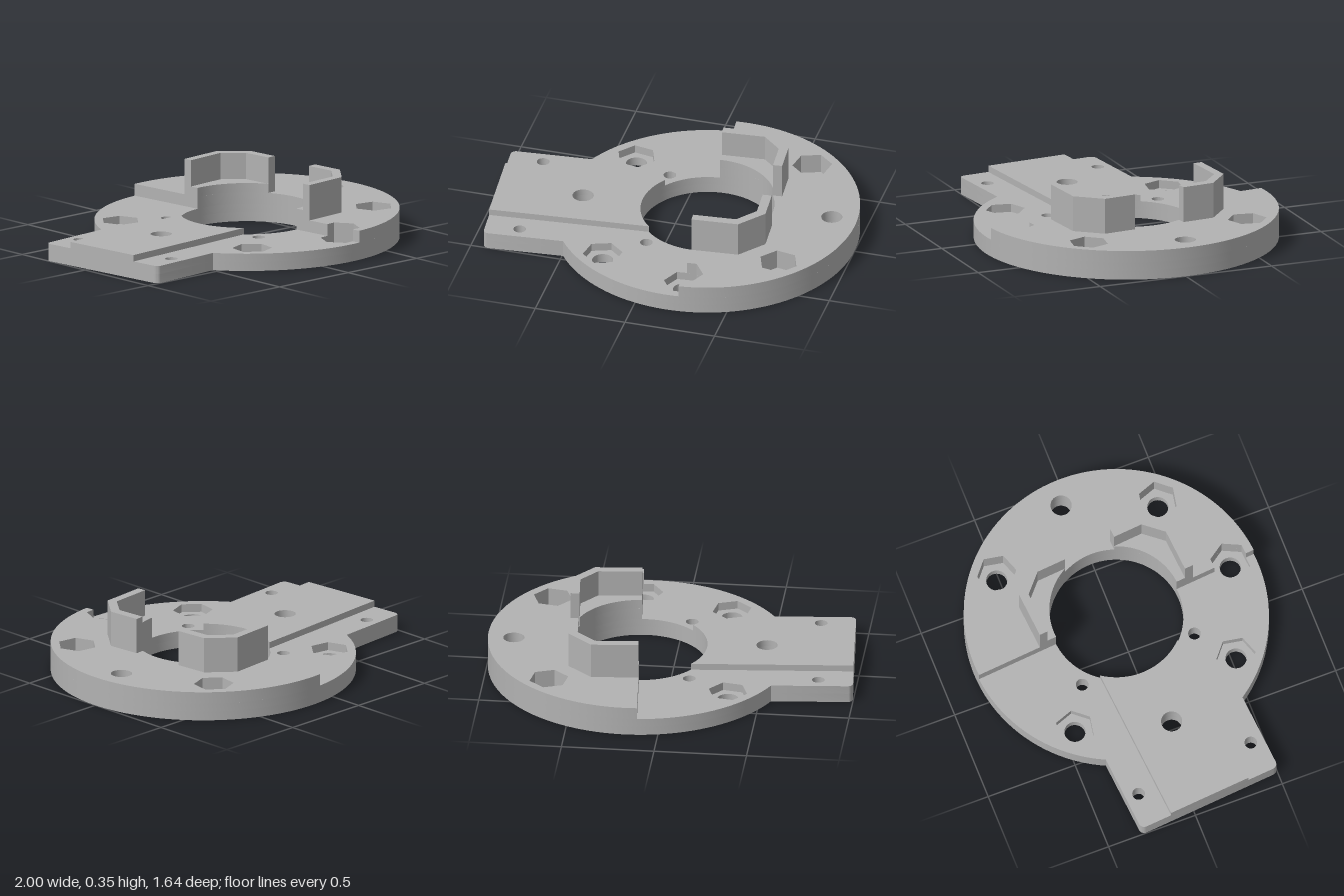
import * as THREE from 'three';
import { toCreasedNormals } from 'three/addons/utils/BufferGeometryUtils.js';

const DEG = Math.PI / 180;
const R_OUT = 0.82, R_IN = 0.36, R_BOLT = 0.68;
const Y_FLOOR = 0.05, Y_THIN = 0.095, Y_STRIP = 0.13, Y_THICK = 0.16, Y_LEDGE = 0.21, Y_WALL = 0.355;

// Points along an arc in the plan (x, z), angles in degrees
function arc(cx, cz, r, from, to, n) {
  return Array.from({ length: n + 1 }, (_, i) => {
    const a = (from + (to - from) * i / n) * DEG;
    return [cx + r * Math.cos(a), cz + r * Math.sin(a)];
  });
}
const circle = (x, z, r, n = 32) => arc(x, z, r, 0, 360, n).slice(0, -1);
const toVectors = pts => pts.map(p => new THREE.Vector2(p[0], p[1]));

export function createModel() {
  const grey = new THREE.MeshStandardMaterial({ color: 0xb2b2b2 });
  grey.name = 'grey plastic';
  const group = new THREE.Group();
  group.name = 'mountingPlate';
  const body = new THREE.Group();
  body.name = 'body';
  group.add(body);

  // Extrudes a plan outline with holes from y0 up to y1
  function slab(name, outline, holes, y0, y1) {
    const shape = new THREE.Shape(toVectors(outline));
    for (const h of holes) shape.holes.push(new THREE.Path(toVectors(h)));
    const geo = new THREE.ExtrudeGeometry(shape, { depth: y1 - y0, bevelEnabled: false });
    geo.rotateX(Math.PI / 2).translate(0, y1, 0);
    const mesh = new THREE.Mesh(toCreasedNormals(geo, 0.4), grey);
    mesh.name = name;
    body.add(mesh);
  }

  // Bolt holes, with nut pockets on five of them
  const onCircle = deg => [R_BOLT * Math.cos(deg * DEG), R_BOLT * Math.sin(deg * DEG)];
  const bolt = deg => circle(...onCircle(deg), 0.057);
  const nut = deg => arc(...onCircle(deg), 0.107, deg + 30, deg + 330, 5);
  const nutAngles = [45, 90, 135, -45, -135];
  const plainBolts = [bolt(0), bolt(180)];
  const screws = [];
  for (const s of [1, -1]) for (const x of [-0.27, -0.963]) screws.push(circle(x, s * 0.335, 0.034, 24));
  const bore = circle(0, 0, R_IN, 96);

  // Disc joined to the rectangular tongue
  const halfW = 0.408, xEnd = -1.15, rc = 0.03;
  const join = 180 - Math.asin(halfW / R_OUT) / DEG;
  const outline = [
    ...arc(0, 0, R_OUT, join, -join, 100),
    ...arc(xEnd + rc, -halfW + rc, rc, 270, 180, 6),
    ...arc(xEnd + rc, halfW - rc, rc, 180, 90, 6),
  ];
  slab('basePlate', outline, [bore, ...plainBolts, ...screws, ...nutAngles.map(bolt)], 0, Y_FLOOR);
  slab('nutPocketLayer', outline, [bore, ...plainBolts, ...screws, ...nutAngles.map(nut)], Y_FLOOR, Y_THIN);

  // Thick half of the ring, notched by the pocket on the dividing line
  const thick = [
    [0, 0.587], [0.0535, 0.587], [0.107, R_BOLT], [0.0535, 0.773], [0, 0.773],
    ...arc(0, 0, R_OUT, 90, -90, 64),
    ...arc(0, 0, R_IN, -90, 90, 48),
  ];
  slab('thickHalf', thick, [bolt(0), nut(45), nut(-45)], Y_THIN, Y_THICK);

  // Raised strip along the tongue, running up to the bore
  const sw = 0.231, meet = 180 - Math.asin(sw / R_IN) / DEG;
  const strip = [[xEnd, sw], ...arc(0, 0, R_IN, meet, 360 - meet, 24), [xEnd, -sw]];
  slab('raisedStrip', strip, [bolt(180)], Y_THIN, Y_STRIP);

  // Mirrored angled walls with a low ledge inside each
  for (const [side, s] of [['left', 1], ['right', -1]]) {
    const flip = pts => pts.map(([x, z]) => [x, z * s]);
    const inner = [[0.33, 0.147], [0.33, 0.31], [0.235, 0.41], [0, 0.41]];
    const wall = [[0, 0.457], [0.255, 0.457], [0.38, 0.328], [0.38, 0.147], ...inner];
    slab(side === 'left' ? 'frontWall' : 'backWall', flip(wall), [], Y_THICK, Y_WALL);
    const ledge = [...inner, ...arc(0, 0, R_IN, 90, 24.1, 24)];
    slab(side === 'left' ? 'frontLedge' : 'backLedge', flip(ledge), [], Y_THICK, Y_LEDGE);
  }

  // The whole body sits slightly turned
  body.rotation.y = 4.8 * DEG;
  body.position.x = 0.18;
  return group;
}
